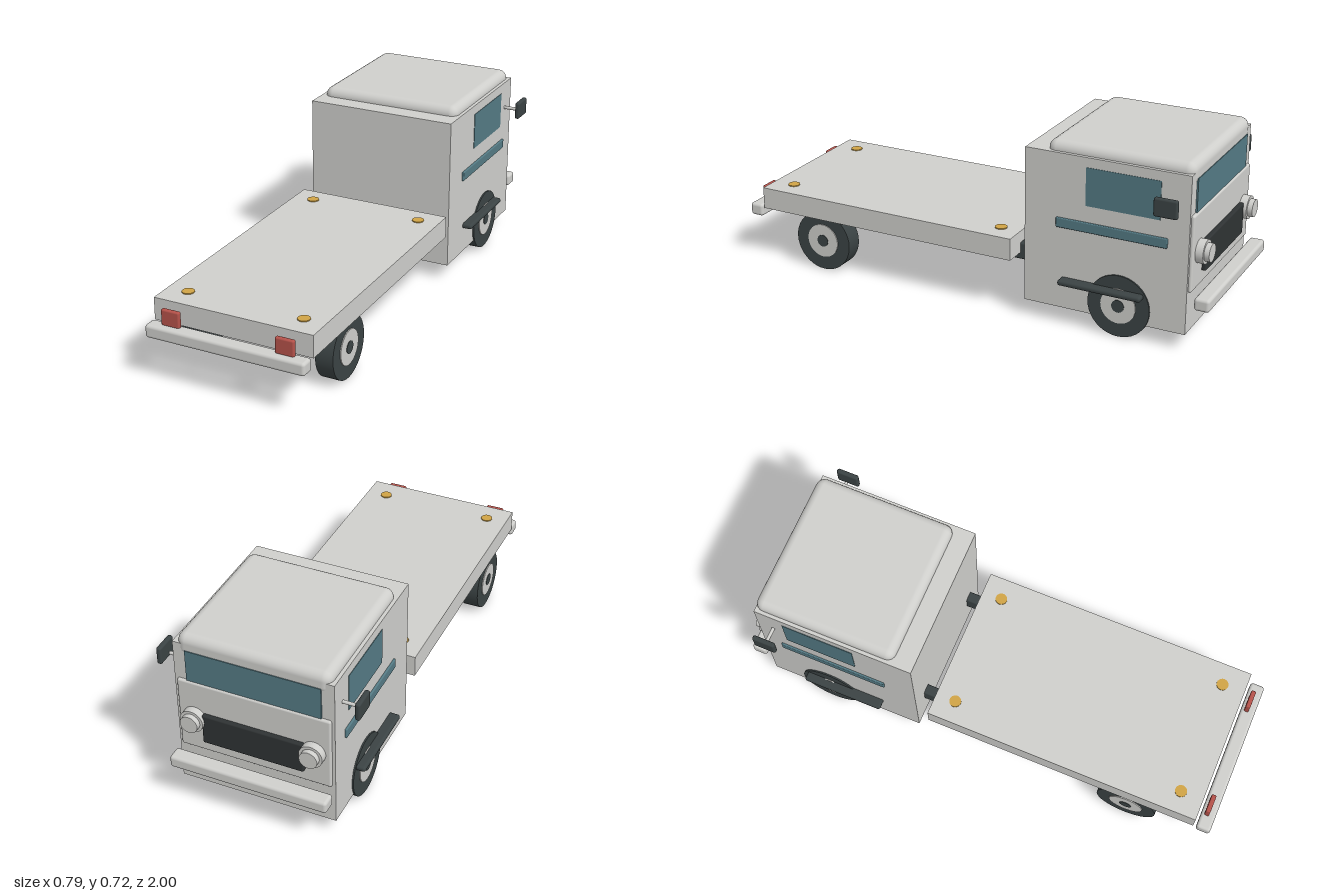
import * as THREE from 'three';
import { RoundedBoxGeometry } from 'three/addons/geometries/RoundedBoxGeometry.js';

const mat = (name, color) => {
  const m = new THREE.MeshStandardMaterial({ color });
  m.name = name;
  return m;
};

export function createModel() {
  const truck = new THREE.Group();
  truck.name = 'flatbedTruck';

  const body = mat('paleGrey', 0xcfcfcc);
  const dark = mat('charcoal', 0x3b4344);
  const black = mat('grilleBlack', 0x2f3334);
  const glass = mat('tealGlass', 0x547a84);
  const red = mat('tailRed', 0xb5524a);
  const gold = mat('brass', 0xd0a446);

  const add = (name, geometry, material, x, y, z) => {
    const mesh = new THREE.Mesh(geometry, material);
    mesh.name = name;
    mesh.position.set(x, y, z);
    truck.add(mesh);
    return mesh;
  };
  // Box from its min and max on each axis, optionally rounded
  const box = (name, material, [x0, x1], [y0, y1], [z0, z1], r = 0) => {
    const size = [x1 - x0, y1 - y0, z1 - z0];
    const geo = r ? new RoundedBoxGeometry(...size, 3, r) : new THREE.BoxGeometry(...size);
    return add(name, geo, material, (x0 + x1) / 2, (y0 + y1) / 2, (z0 + z1) / 2);
  };
  // Same box on both sides of the truck
  const pair = (name, material, [x0, x1], y, z, r = 0) => {
    box(name + 'Left', material, [x0, x1], y, z, r);
    box(name + 'Right', material, [-x1, -x0], y, z, r);
  };
  const cylX = (r, len) => new THREE.CylinderGeometry(r, r, len, 40).rotateZ(Math.PI / 2);
  const cylZ = (r, len) => new THREE.CylinderGeometry(r, r, len, 32).rotateX(Math.PI / 2);

  // Cab and its domed roof
  box('cab', body, [-0.312, 0.312], [0.065, 0.685], [-0.913, -0.26]);
  box('roof', body, [-0.298, 0.298], [0.63, 0.723], [-0.917, -0.34], 0.035);

  // Cab face: windshield, lower panel, grille, bumper
  box('windshield', glass, [-0.263, 0.263], [0.53, 0.66], [-0.919, -0.911]);
  box('facePanel', body, [-0.3, 0.3], [0.23, 0.53], [-0.925, -0.905], 0.008);
  box('grille', black, [-0.2, 0.2], [0.28, 0.405], [-0.942, -0.92], 0.006);
  box('cabBumper', body, [-0.313, 0.313], [0.17, 0.22], [-1, -0.94], 0.012);

  // Cab sides: windows, stripes, steps
  pair('sideWindow', glass, [0.308, 0.314], [0.497, 0.647], [-0.8, -0.507]);
  pair('sideStripe', glass, [0.308, 0.32], [0.393, 0.432], [-0.832, -0.39], 0.004);
  pair('step', dark, [0.3, 0.352], [0.171, 0.193], [-0.748, -0.413], 0.01);

  // Flat bed on two rails with cross members
  box('bed', body, [-0.325, 0.325], [0.218, 0.307], [-0.205, 0.93]);
  pair('rail', dark, [0.197, 0.239], [0.19, 0.26], [-0.6, 0.88], 0.008);
  for (const z of [-0.1, 0.415, 0.86])
    box('crossMember', body, [-0.245, 0.245], [0.19, 0.222], [z - 0.016, z + 0.016], 0.01);

  // Tail bumper and lamps
  box('tailBumper', body, [-0.325, 0.325], [0.176, 0.228], [0.942, 1], 0.012);
  pair('tailLamp', red, [0.195, 0.27], [0.226, 0.29], [0.954, 0.973], 0.006);

  for (const s of [-1, 1]) {
    // Headlights
    add('headlightRim', cylZ(0.046, 0.04), body, s * 0.235, 0.375, -0.935);
    add('headlightLens', cylZ(0.035, 0.03), body, s * 0.235, 0.375, -0.96);

    // Mirrors on slim arms
    const arm = new THREE.CapsuleGeometry(0.007, 0.07, 4, 12).rotateZ(Math.PI / 2);
    add('mirrorArm', arm, body, s * 0.328, 0.571, -0.848);
    const head = new RoundedBoxGeometry(0.02, 0.072, 0.092, 3, 0.008);
    add('mirror', head, dark, s * 0.386, 0.579, -0.848);

    // Wheels
    for (const z of [-0.65, 0.65]) {
      add('tyre', cylX(0.124, 0.072), dark, s * 0.282, 0.124, z);
      add('hub', cylX(0.07, 0.08), body, s * 0.282, 0.126, z);
      add('hubCap', cylX(0.025, 0.084), dark, s * 0.282, 0.126, z);
    }

    // Lashing points on the bed
    for (const z of [-0.122, 0.837])
      add('lashingPoint', new THREE.CylinderGeometry(0.024, 0.024, 0.008, 20), gold, s * 0.238, 0.307, z);
  }
  return truck;
}
